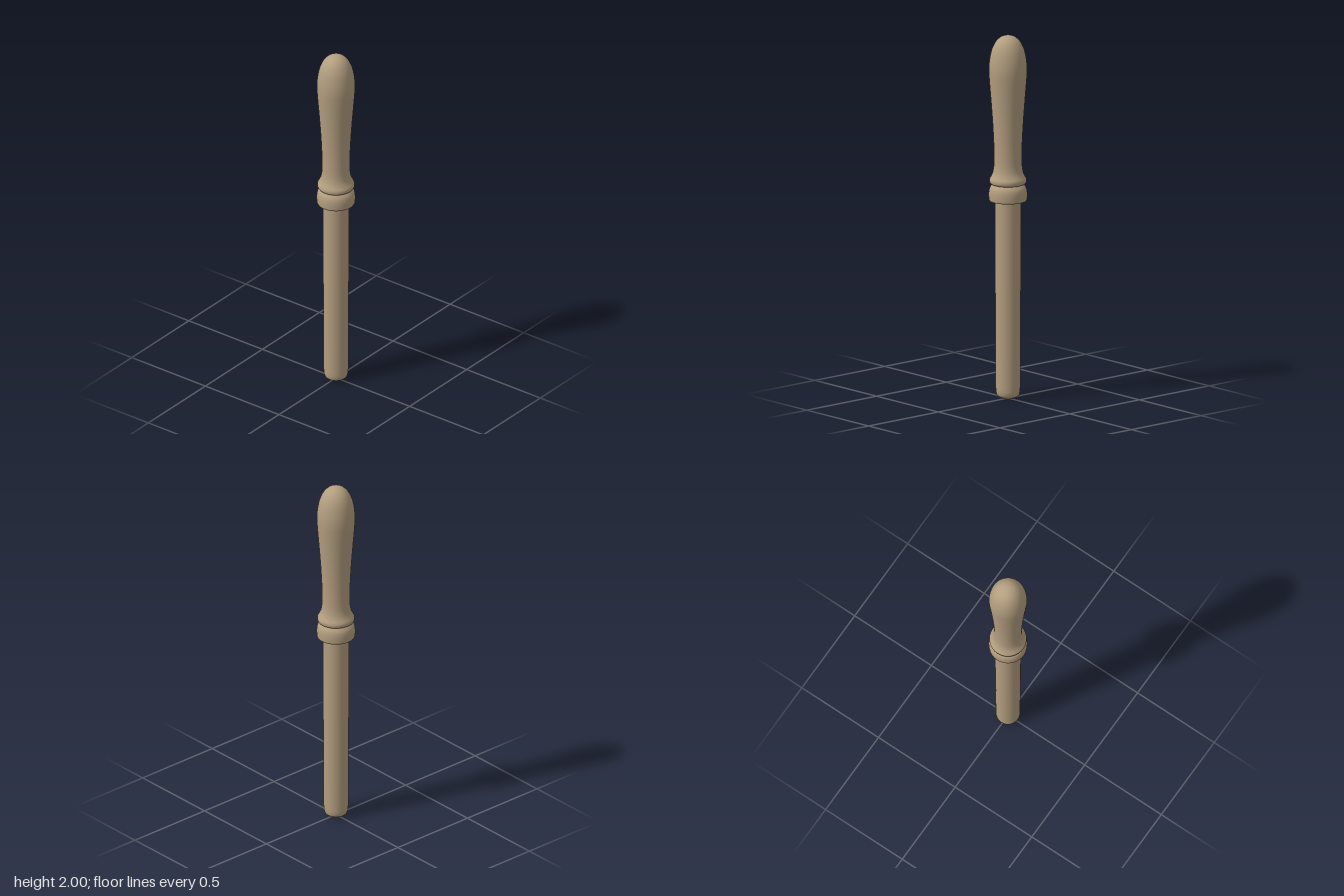
import * as THREE from 'three';

const SEGMENTS = 64;

// Smooth curve through [radius, height] points, sampled for a lathe
function smooth(points, samples) {
  const curve = new THREE.SplineCurve(points.map(([r, y]) => new THREE.Vector2(r, y)));
  return curve.getPoints(samples).map((p) => new THREE.Vector2(Math.max(p.x, 0), p.y));
}

export function createModel() {
  const model = new THREE.Group();
  model.name = 'turnedWoodenTool';
  const wood = new THREE.MeshStandardMaterial({ color: 0xb39e7f });
  wood.name = 'paleWood';

  function turned(name, profile) {
    const mesh = new THREE.Mesh(new THREE.LatheGeometry(profile, SEGMENTS), wood);
    mesh.name = name;
    model.add(mesh);
  }

  // Slightly tapered shaft with a rounded lower edge
  turned('shaft', [
    new THREE.Vector2(0, 0.005),
    new THREE.Vector2(0.03, 0.005),
    ...smooth([[0.04, 0.006], [0.053, 0.012], [0.061, 0.022], [0.065, 0.04]], 10),
    new THREE.Vector2(0.066, 0.06),
    new THREE.Vector2(0.071, 1.1),
  ]);

  // Small flat tip closing the foot
  const tip = new THREE.Mesh(new THREE.CylinderGeometry(0.036, 0.03, 0.006, SEGMENTS), wood);
  tip.name = 'shaftTip';
  tip.position.y = 0.003;
  model.add(tip);

  // Collar: flat underside, straight wall, rounded shoulder
  turned('collarUnderside', [
    new THREE.Vector2(0.06, 1.096),
    new THREE.Vector2(0.078, 1.094),
    new THREE.Vector2(0.1, 1.09),
  ]);
  turned('collar', [
    new THREE.Vector2(0.1, 1.09),
    ...smooth([[0.103, 1.097], [0.104, 1.12], [0.103, 1.14], [0.099, 1.158],
      [0.091, 1.172], [0.083, 1.18], [0.07, 1.182]], 24),
  ]);

  // Handle: bead, narrow neck and swelling grip with a domed end
  turned('handle', smooth([
    [0.07, 1.178], [0.086, 1.181], [0.097, 1.188], [0.1, 1.199], [0.098, 1.211],
    [0.089, 1.228], [0.081, 1.25], [0.076, 1.285], [0.075, 1.34], [0.077, 1.42],
    [0.083, 1.53], [0.092, 1.65], [0.1, 1.75], [0.103, 1.81], [0.099, 1.865],
    [0.088, 1.918], [0.069, 1.96], [0.045, 1.986], [0.02, 1.998], [0, 2],
  ], 110));

  return model;
}
